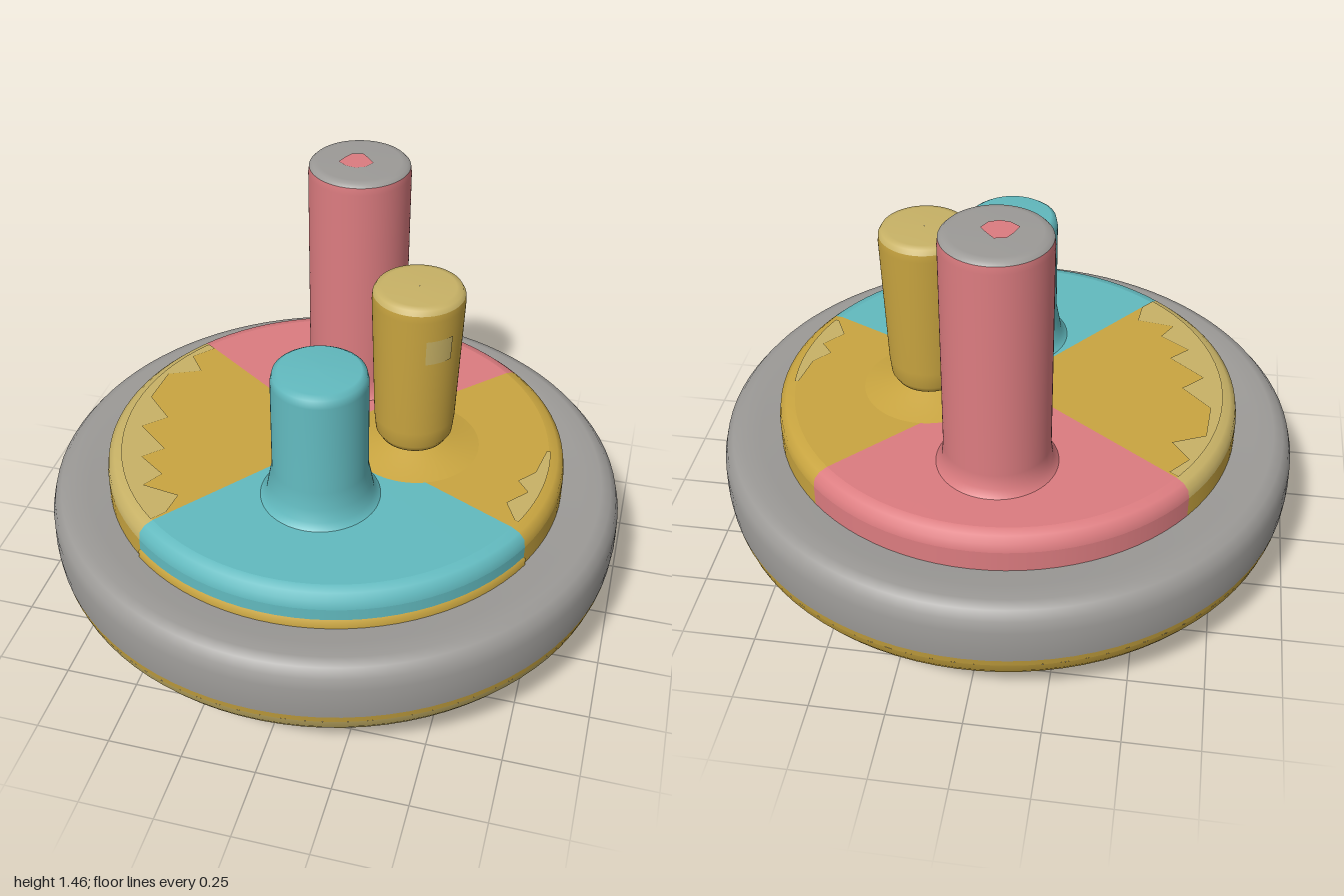
import * as THREE from 'three';

const mat = (name, color) => {
  const m = new THREE.MeshStandardMaterial({ color });
  m.name = name;
  return m;
};

export function createModel() {
  const group = new THREE.Group();
  const grey = mat('grey', 0x9c9a97);
  const pink = mat('pink', 0xdc7c80);
  const teal = mat('teal', 0x62babf);
  const gold = mat('gold', 0xc9a540);
  const pale = mat('paleGold', 0xc8b266);

  const add = (name, geo, material, x = 0, y = 0, z = 0) => {
    const mesh = new THREE.Mesh(geo, material);
    mesh.name = name;
    mesh.position.set(x, y, z);
    group.add(mesh);
    return mesh;
  };
  // Lathe from [radius, height] pairs listed bottom to top, angles in degrees from +z toward +x
  const lathe = (pts, from = 0, to = 360) => new THREE.LatheGeometry(
    pts.map(([r, y]) => new THREE.Vector2(r, y)),
    Math.max(6, Math.round((to - from) / 4)),
    THREE.MathUtils.degToRad(from), THREE.MathUtils.degToRad(to - from));

  // Round base: bowl underside, painted band, thick rounded rim
  add('baseUnderside', lathe([[0, 0.005], [0.3, 0.01], [0.52, 0.025], [0.66, 0.055],
    [0.8, 0.105], [0.9, 0.155], [0.955, 0.205]]), grey);
  add('baseBandTop', lathe([[0.983, 0.265], [0.988, 0.29]]), gold);
  const band = [[0.955, 0.205], [0.972, 0.23], [0.983, 0.265]];
  add('baseBandFront', lathe(band, -110, 60), pale);
  add('baseBandBack', lathe(band, 60, 250), gold);
  add('baseRim', lathe([[0.988, 0.29], [0.992, 0.34], [0.99, 0.41], [0.98, 0.45], [0.958, 0.477],
    [0.925, 0.489], [0.86, 0.484], [0.77, 0.474]]), grey);

  // Raised disc divided into four coloured sectors
  const wall = [[0.79, 0.47], [0.79, 0.55]];
  const topEdge = [[0.79, 0.55], [0.785, 0.58], [0.765, 0.598], [0.735, 0.605]];
  const face = [[0.735, 0.605], [0.4, 0.606], [0.001, 0.607]];
  const sectors = [
    ['frontSector', teal, -38.7, 65],
    ['leftSector', gold, 65, 136],
    ['backSector', pink, 136, 235.1],
    ['rightSector', gold, 235.1, 321.3],
  ];
  for (const [name, m, a, b] of sectors) {
    add(name + 'Wall', lathe(wall, a, b), m);
    add(name + 'Edge', lathe(topEdge, a, b), name === 'rightSector' ? pale : m);
    add(name + 'Top', lathe(face, a, b), m);
  }
  add('frontSkirt', lathe([[0.797, 0.472], [0.797, 0.505], [0.78, 0.512]], -38.7, 65), gold);
  add('centreSpot', lathe([[0.035, 0.607], [0.001, 0.611]]), grey, 0, 0, 0.03);

  // Pale worn patches: an inner edge of [x, z] points closed by the disc's rim
  const patch = (name, inner) => {
    const s = new THREE.Shape();
    inner.forEach(([x, z], i) => (i ? s.lineTo(x, -z) : s.moveTo(x, -z)));
    const [xe, ze] = inner[inner.length - 1];
    const a = Math.atan2(-ze, xe);
    let b = Math.atan2(-inner[0][1], inner[0][0]);
    if (b - a > Math.PI) b -= 2 * Math.PI;
    if (a - b > Math.PI) b += 2 * Math.PI;
    for (let i = 0; i <= 20; i++) {
      const t = a + (b - a) * i / 20;
      s.lineTo(0.74 * Math.cos(t), 0.74 * Math.sin(t));
    }
    add(name, new THREE.ShapeGeometry(s).rotateX(-Math.PI / 2), pale, 0, 0.609, 0);
  };
  patch('rightPatch', [[-0.58, -0.4], [-0.64, -0.33], [-0.58, -0.25], [-0.69, -0.2], [-0.7, -0.05],
    [-0.6, 0.05], [-0.67, 0.12], [-0.55, 0.22], [-0.61, 0.28], [-0.51, 0.35], [-0.55, 0.42],
    [-0.42, 0.44], [-0.43, 0.53]]);
  patch('leftPatch', [[0.72, -0.1], [0.7, 0.02], [0.65, 0.08], [0.69, 0.13], [0.63, 0.2], [0.67, 0.28]]);

  // Tall back post with a grey cap and an irregular spot
  const backPost = [[0.2, 0.605], [0.18, 0.63], [0.174, 0.68], [0.174, 1.42], [0.171, 1.445]];
  add('backPost', lathe(backPost), pink, -0.025, 0, -0.41);
  add('backPostCap', lathe([[0.171, 1.445], [0.16, 1.456], [0.14, 1.459], [0.001, 1.46]]),
    grey, -0.025, 0, -0.41);
  const spot = new THREE.CircleGeometry(0.06, 9);
  const p = spot.attributes.position;
  for (let i = 1; i < p.count; i++) {
    const k = 0.88 + 0.12 * Math.sin((i % 9) * 2.3);
    p.setXY(i, p.getX(i) * k, p.getY(i) * k);
  }
  add('backPostSpot', spot.rotateX(-Math.PI / 2), pink, -0.035, 1.463, -0.4);

  // Short front post with a flared foot
  add('frontPost', lathe([[0.2, 0.605], [0.178, 0.625], [0.17, 0.67], [0.158, 0.73], [0.156, 1.06],
    [0.15, 1.088], [0.132, 1.1], [0.001, 1.102]]), teal, 0.027, 0, 0.3);

  // Tapered left post poised over a low mound
  const px = 0.265, pz = -0.042;
  add('leftPostMound', lathe([[0.23, 0.605], [0.12, 0.628], [0.04, 0.66], [0.001, 0.665]]), gold, px, 0, pz);
  add('leftPost', lathe([[0.001, 0.642], [0.08, 0.645], [0.115, 0.655], [0.13, 0.68], [0.136, 0.74],
    [0.152, 1.19], [0.15, 1.215]]), gold, px, 0, pz);
  add('leftPostCap', lathe([[0.15, 1.215], [0.141, 1.231], [0.12, 1.236], [0.001, 1.237]]), pale, px, 0, pz);
  add('leftPostPatch', lathe([[0.149, 1.03], [0.153, 1.12]], 22, 58), pale, px, 0, pz);

  return group;
}
